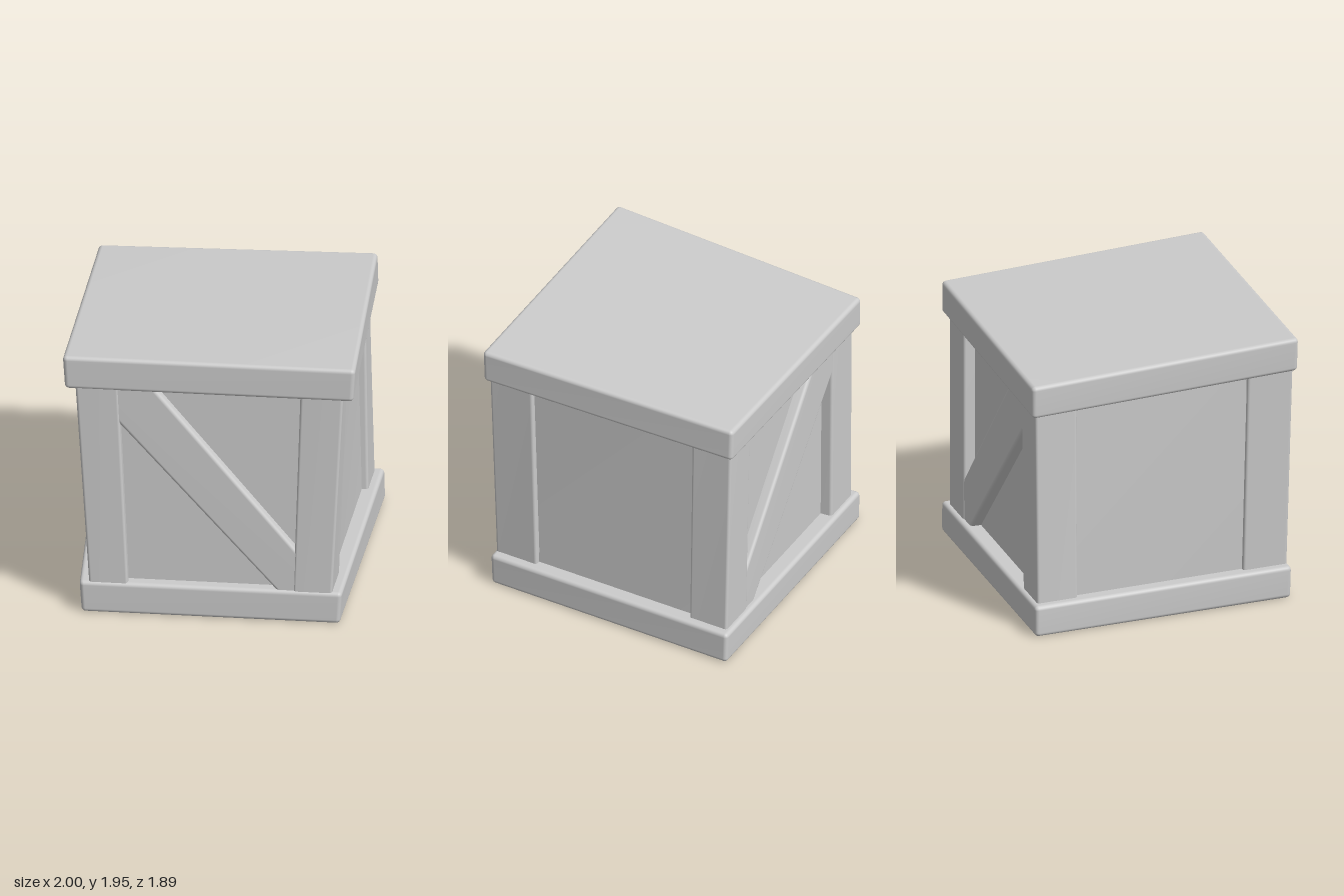
import * as THREE from 'three';
import { RoundedBoxGeometry } from 'three/addons/geometries/RoundedBoxGeometry.js';
import { mergeVertices } from 'three/addons/utils/BufferGeometryUtils.js';

const material = new THREE.MeshStandardMaterial({ color: 0xcccccc });
const { lerp } = THREE.MathUtils;

// Cartoon warp: front flares upward, back flares downward, top sags to the back.
function warp(geometry) {
  const p = geometry.attributes.position;
  for (let i = 0; i < p.count; i++) {
    const x = p.getX(i), y = p.getY(i), z = p.getZ(i);
    const up = (y - 0.12) / 1.71;
    const back = 0.5 - z / 1.88;
    const left = 0.5 + x / 1.92;
    const scale = lerp(lerp(0.922, 1.03, up), lerp(1.025, 0.99, up), back);
    const shift = lerp(lerp(0, -0.01, up), lerp(0.015, 0, up), back);
    const sag = (y / 1.95) * back * lerp(0.13, 0.09, left);
    p.setXYZ(i, x * scale + shift, y - sag, z * lerp(0.985, 1, up));
  }
}

// A rounded beam between two corners, optionally tapered towards +x and tilted.
function beam(name, [x0, y0, z0], [x1, y1, z1], radius, tilt = 0, taper = 0) {
  let g = new RoundedBoxGeometry(x1 - x0, y1 - y0, z1 - z0, 3, radius);
  const p = g.attributes.position;
  for (let i = 0; i < p.count; i++) p.setY(i, p.getY(i) * (1 - taper * p.getX(i)));
  g.rotateZ(tilt);
  g.translate((x0 + x1) / 2, (y0 + y1) / 2, (z0 + z1) / 2);
  g.deleteAttribute('uv');
  g.deleteAttribute('normal');
  g = mergeVertices(g, 1e-4);
  warp(g);
  g.computeVertexNormals();
  const mesh = new THREE.Mesh(g, material);
  mesh.name = name;
  return mesh;
}

export function createModel() {
  const crate = new THREE.Group();
  crate.name = 'crate';

  // Slabs above and below
  crate.add(beam('base', [-0.96, 0, -0.943], [0.96, 0.235, 0.945], 0.03));
  crate.add(beam('lid', [-0.96, 1.71, -0.945], [0.96, 1.955, 0.942], 0.03));

  // Side panels, shallow on the sides and deeper set at front and back
  crate.add(beam('panels', [-0.857, 0.1, -0.825], [0.857, 1.82, 0.86], 0.01));

  // Corner posts
  for (const [name, side] of [['Left', 1], ['Right', -1]]) {
    const [f0, f1] = [0.605 * side, 0.89 * side].sort((a, b) => a - b);
    const [b0, b1] = [0.605 * side, 0.9 * side].sort((a, b) => a - b);
    crate.add(beam('frontPost' + name, [f0, 0.1, 0.61], [f1, 1.82, 0.932], 0.02));
    crate.add(beam('backPost' + name, [b0, 0.1, -0.907], [b1, 1.82, -0.61], 0.02));
  }

  // Diagonal braces on front and back, ends hidden by posts and slabs
  for (const [name, z0, z1] of [['frontBrace', 0.8, 0.925], ['backBrace', -0.9, -0.76]]) {
    crate.add(beam(name, [-0.96, 0.816, z0], [1.04, 1.156, z1], 0.025, -0.864, 0.11));
  }
  return crate;
}
